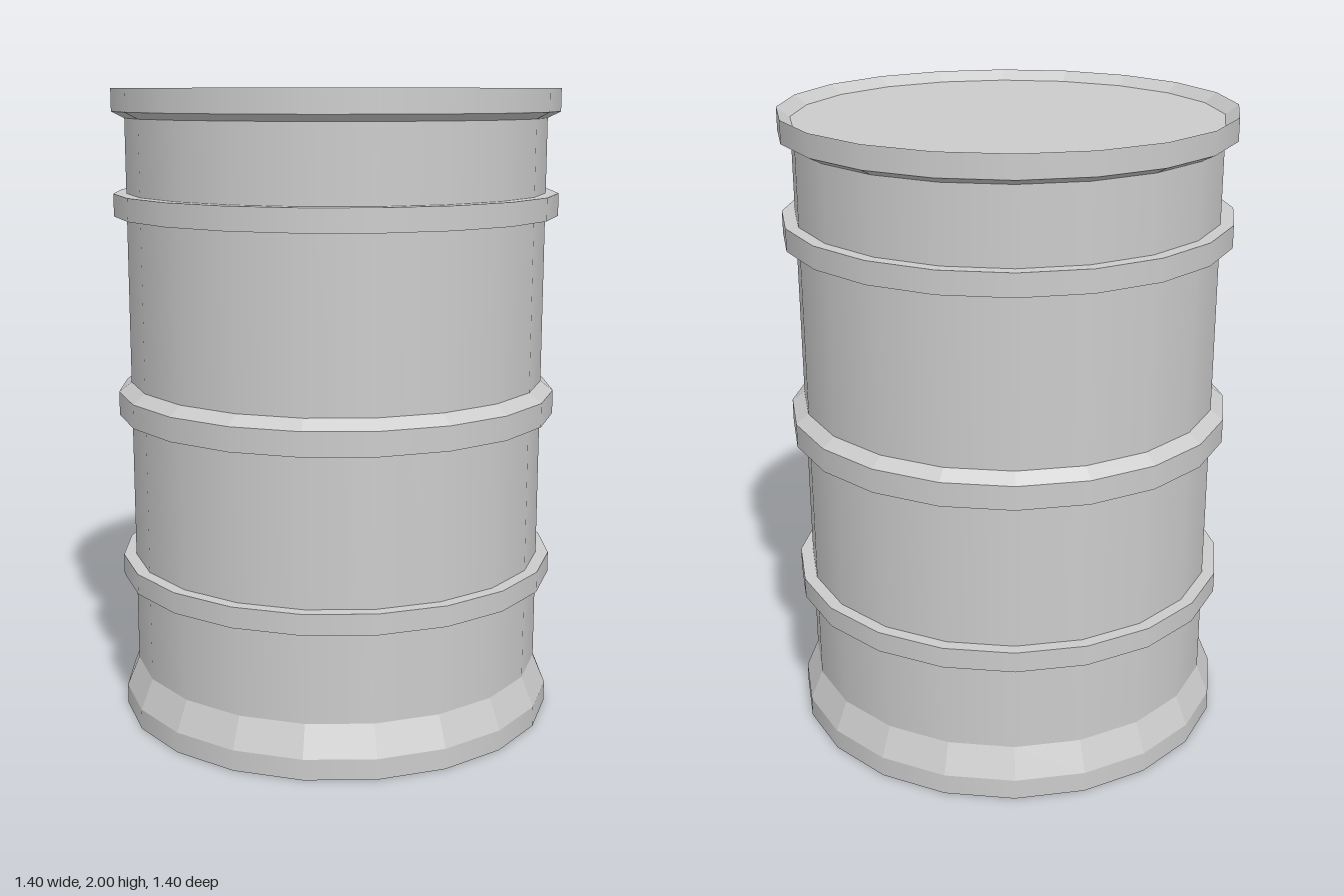
import * as THREE from 'three';
import { mergeGeometries } from 'three/addons/utils/BufferGeometryUtils.js';

const SIDES = 20;
const BODY = 0.66; // shell radius
const RIM = 0.7;   // radius of rims and hoops

// Turns a profile of [radius, y] points, with a hard edge at every point.
// Vertical walls stay smooth around; sloped bands are faceted.
function turned(name, profile, side = THREE.FrontSide) {
  const bands = [];
  for (let i = 0; i < profile.length - 1; i++) {
    const [a, b] = [profile[i], profile[i + 1]];
    const lathe = new THREE.LatheGeometry(
      [new THREE.Vector2(...a), new THREE.Vector2(...b)], SIDES);
    const band = lathe.toNonIndexed();
    if (a[0] !== b[0] && a[1] !== b[1]) band.computeVertexNormals();
    bands.push(band);
  }
  const material = new THREE.MeshStandardMaterial({ color: 0xcccccc, side });
  const mesh = new THREE.Mesh(mergeGeometries(bands), material);
  mesh.name = name;
  return mesh;
}

export function createModel() {
  const barrel = new THREE.Group();
  barrel.name = 'barrel';

  // Straight shell
  barrel.add(turned('shell', [[BODY, 0.16], [BODY, 1.91]]));

  // Flared foot around the recessed bottom plate
  barrel.add(turned('foot', [
    [0, 0.095], [BODY, 0.095], [RIM, 0], [RIM, 0.065], [BODY, 0.16],
  ]));

  // Plain square hoops
  for (const [name, low, high] of [['lowerHoop', 0.45, 0.515], ['upperHoop', 1.61, 1.68]]) {
    barrel.add(turned(name, [[BODY, low], [RIM, low], [RIM, high], [BODY, high]]));
  }

  // Middle hoop with a sloped shoulder, open underneath
  barrel.add(turned('middleHoop',
    [[RIM, 0.98], [RIM, 1.055], [BODY, 1.085]], THREE.DoubleSide));

  // Top rim and slightly sunken lid
  barrel.add(turned('topRim', [
    [BODY, 1.91], [RIM, 1.93], [RIM, 2], [BODY, 1.97],
  ]));
  barrel.add(turned('lid', [[BODY, 1.97], [0, 1.97]]));

  return barrel;
}
